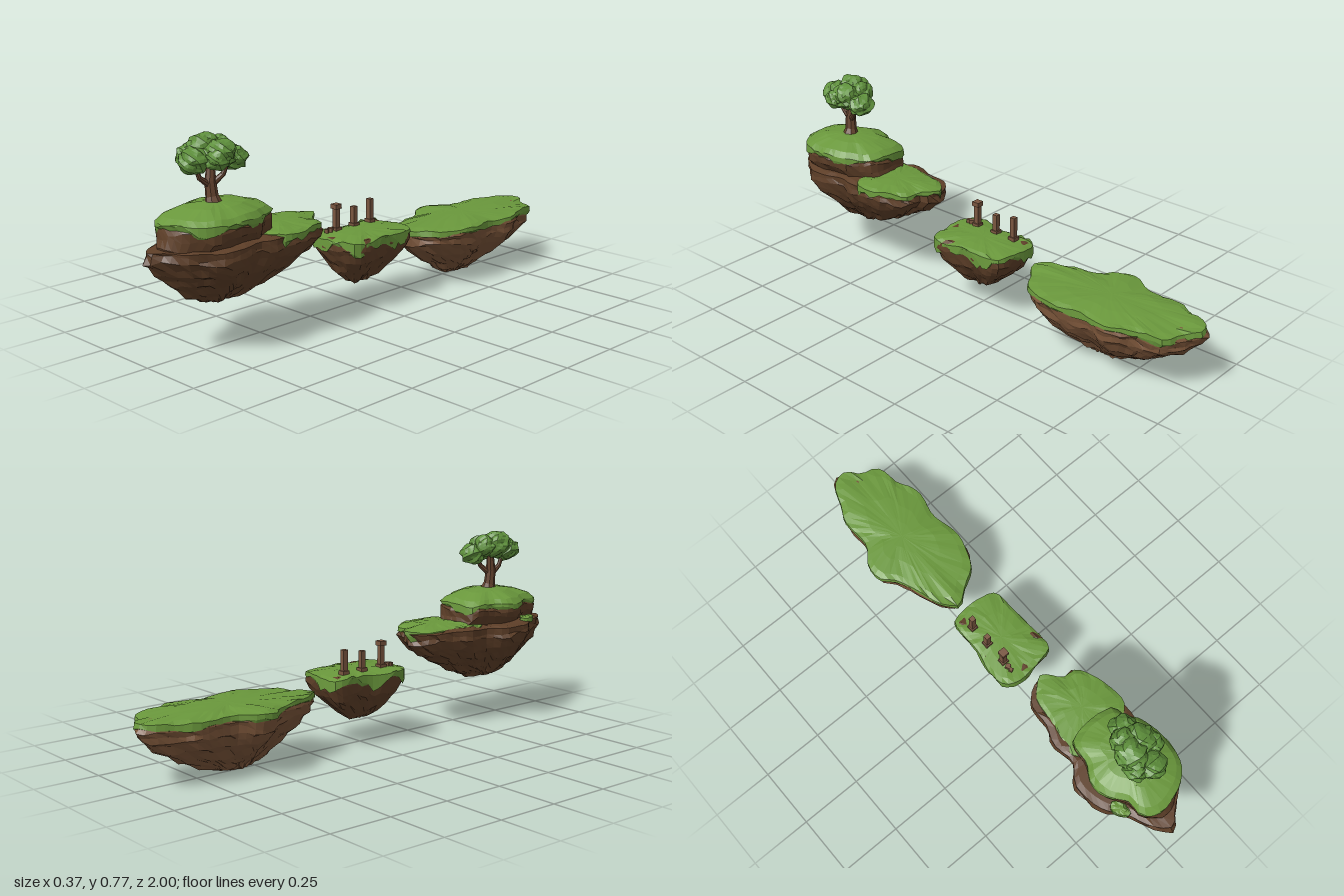
import * as THREE from 'three';

const mat = (name, color) => {
  const m = new THREE.MeshStandardMaterial({ color });
  m.name = name;
  return m;
};

// Repeatable value in -0.5..0.5 from up to three numbers
const hash = (a, b = 0, c = 0) => {
  const s = Math.sin(a * 127.1 + b * 311.7 + c * 74.7) * 43758.5453;
  return s - Math.floor(s) - 0.5;
};

function mesh(name, geometry, material) {
  const g = geometry.index ? geometry.toNonIndexed() : geometry;
  g.computeVertexNormals(); // faceted shading
  const m = new THREE.Mesh(g, material);
  m.name = name;
  return m;
}

// Closed outline of [x, z] points, sampled evenly
function outline(points, n) {
  const curve = new THREE.CatmullRomCurve3(points.map(([x, z]) => new THREE.Vector3(x, 0, z)), true, 'centripetal');
  return curve.getSpacedPoints(n).slice(0, n);
}

// Skin rings from bottom to top. Each ring: [scale, y, centreX, centreZ, radial jitter, height jitter, x narrowing]
function loft(path, centre, rings, seed) {
  const n = path.length, pos = [], idx = [];
  rings.forEach(([s, y, cx, cz, jr = 0, jy = 0, narrow = 1], j) => {
    path.forEach((p, i) => {
      const wave = Math.sin(i / n * Math.PI * 10 + j * 0.6 + seed);
      const k = s * (1 + jr * (0.5 * hash(i, j, seed) + 0.8 * hash(i >> 1, 7, seed) + 0.3 * wave));
      pos.push(cx + (p.x - centre[0]) * k * narrow,
        y + jy * (0.8 * hash(i >> 1, j, seed + 3) + 0.4 * hash(i, j, seed + 5) + 0.25 * wave), cz + (p.z - centre[1]) * k);
    });
  });
  for (let j = 0; j < rings.length - 1; j++) {
    for (let i = 0; i < n; i++) {
      const a = j * n + i, b = j * n + (i + 1) % n;
      idx.push(a, a + n, b + n, a, b + n, b);
    }
  }
  const g = new THREE.BufferGeometry();
  g.setAttribute('position', new THREE.Float32BufferAttribute(pos, 3));
  g.setIndex(idx);
  return g;
}

// Rock underside: profile of [scale, y, centreZ] from the keel up to the rim, then a closed top
function rock(path, centre, profile, steps, seed) {
  const curve = new THREE.CatmullRomCurve3(profile.map(p => new THREE.Vector3(...p)));
  const rings = curve.getPoints(steps).map((p, j) => {
    const edge = j === 0 || j === steps;
    const ledge = edge ? 0 : j % 2 ? 0.012 : -0.012;
    return [p.x + ledge, p.y, centre[0], p.z, edge ? 0.02 : 0.06, edge ? 0.004 : 0.018, Math.min(1, 0.6 + 0.75 * j / steps)];
  });
  const [, lowY, , lowZ] = rings[0], [, topY, , topZ] = rings[rings.length - 1];
  rings.unshift([0, lowY - 0.003, centre[0], lowZ]);
  rings.push([0.85, topY + 0.008, centre[0], topZ, 0.02, 0.008], [0, topY + 0.008, centre[0], topZ]);
  return loft(path, centre, rings, seed);
}

// Grass cap with a ragged hanging lip
function turf(path, centre, low, rim, high, ragged, seed) {
  const [x, z] = centre;
  return loft(path, centre, [
    [0.98, low, x, z, 0, ragged], [1.01, low + 0.004, x, z, 0.01, ragged], [1, rim, x, z, 0.015, 0.01],
    [0.88, rim + (high - rim) * 0.4, x, z, 0.015, 0.007], [0.55, rim + (high - rim) * 0.85, x, z, 0.03, 0.004],
    [0.25, high, x, z, 0, 0.001], [0, high, x, z],
  ], seed);
}

// Tapered limb between two points
function limb(name, a, b, r0, r1, material) {
  const p = new THREE.Vector3(...a), q = new THREE.Vector3(...b), d = q.clone().sub(p);
  const g = new THREE.CylinderGeometry(r1, r0, d.length(), 8, 1);
  g.applyQuaternion(new THREE.Quaternion().setFromUnitVectors(new THREE.Vector3(0, 1, 0), d.normalize()));
  g.translate((p.x + q.x) / 2, (p.y + q.y) / 2, (p.z + q.z) / 2);
  return mesh(name, g, material);
}

// Craggy leaf clump
function clump([x, y, z], [rx, ry, rz], seed, material) {
  const g = new THREE.IcosahedronGeometry(1, 3), p = g.attributes.position, v = new THREE.Vector3();
  for (let i = 0; i < p.count; i++) {
    v.fromBufferAttribute(p, i);
    const r = 1 + 0.08 * Math.sin(5 * v.x + 7 * v.y + seed) + 0.07 * Math.sin(8 * v.z - 5 * v.y + seed * 2)
      + 0.08 * hash(Math.round(v.x * 50), Math.round(v.y * 50), Math.round(v.z * 50));
    p.setXYZ(i, x + v.x * r * rx, y + v.y * r * ry, z + v.z * r * rz);
  }
  return mesh('leafClump', g, material);
}

export function createModel() {
  const group = new THREE.Group();
  const grass = mat('grass', 0x6a983c), leaf = mat('leaves', 0x5f913c), dirt = mat('dark earth', 0x5e3f28);
  const paleDirt = mat('light earth', 0x785338), bark = mat('bark', 0x65442f), stone = mat('pillar stone', 0x7a5640);
  const add = (name, geometry, material) => group.add(mesh(name, geometry, material));

  // Long back island
  const backC = [0, -0.61];
  const back = outline([[0, -0.995], [0.05, -0.95], [0.12, -0.92], [0.14, -0.82], [0.18, -0.72], [0.16, -0.6], [0.18, -0.5],
    [0.17, -0.42], [0.12, -0.32], [0.05, -0.28], [-0.01, -0.235], [-0.06, -0.28], [-0.09, -0.36], [-0.13, -0.47],
    [-0.18, -0.53], [-0.18, -0.6], [-0.13, -0.68], [-0.13, -0.82], [-0.1, -0.88], [-0.06, -0.97]], 60);
  add('backIslandRock', rock(back, backC, [[0.1, 0.004, -0.575], [0.28, 0.022, -0.585], [0.48, 0.058, -0.6], [0.7, 0.105, -0.61],
    [0.91, 0.16, -0.61], [0.98, 0.195, -0.61], [0.98, 0.232, -0.61]], 12, 1), paleDirt);
  add('backIslandGrass', turf(back, backC, 0.217, 0.24, 0.255, 0.018, 2), grass);

  // Small middle island
  const midC = [0.015, -0.01];
  const mid = outline([[-0.03, -0.195], [0.05, -0.19], [0.12, -0.17], [0.13, -0.08], [0.13, 0], [0.14, 0.08], [0.13, 0.14],
    [0.05, 0.16], [-0.04, 0.17], [-0.1, 0.14], [-0.11, 0.06], [-0.09, -0.02], [-0.09, -0.12], [-0.08, -0.18]], 44);
  add('middleIslandRock', rock(mid, midC, [[0.18, 0.095, 0.01], [0.4, 0.113, 0.005], [0.62, 0.152, 0], [0.82, 0.195, -0.01],
    [0.96, 0.24, -0.01], [0.98, 0.275, -0.01]], 8, 3), dirt);
  add('middleIslandGrass', turf(mid, midC, 0.254, 0.282, 0.295, 0.05, 4), grass);

  // Broken pillars: [z, top, capped]
  for (const [z, top, capped] of [[0.07, 0.392, true], [-0.025, 0.37, false], [-0.113, 0.385, false]]) {
    const pillar = new THREE.Group();
    pillar.name = 'pillar';
    const box = (name, w, y0, y1) =>
      pillar.add(mesh(name, new THREE.BoxGeometry(w, y1 - y0, w).translate(-0.043, (y0 + y1) / 2, z), stone));
    box('plinth', 0.03, 0.28, 0.305);
    box('shaft', 0.02, 0.3, top);
    if (capped) box('capital', 0.03, top - 0.014, top + 0.004);
    group.add(pillar);
  }
  for (const [z, r] of [[0.1, 0.012], [0.118, 0.009]]) {
    add('pillarRubble', new THREE.BoxGeometry(r * 1.6, r * 1.6, r * 1.6).rotateY(0.5).translate(-0.045, 0.298, z), stone);
  }

  // Front island
  const frontC = [0, 0.61];
  const front = outline([[-0.01, 0.225], [0.03, 0.25], [0.05, 0.29], [0.12, 0.3], [0.15, 0.37], [0.17, 0.45], [0.17, 0.55],
    [0.16, 0.63], [0.18, 0.7], [0.18, 0.78], [0.14, 0.85], [0.1, 0.9], [0.03, 0.95], [-0.01, 0.985], [-0.06, 0.95],
    [-0.11, 0.85], [-0.16, 0.78], [-0.185, 0.68], [-0.18, 0.63], [-0.13, 0.55], [-0.14, 0.47], [-0.11, 0.38], [-0.1, 0.28],
    [-0.06, 0.24]], 60);
  add('frontIslandRock', rock(front, frontC, [[0.19, 0.172, 0.67], [0.38, 0.198, 0.655], [0.63, 0.25, 0.635], [0.82, 0.3, 0.62],
    [0.97, 0.355, 0.61], [0.97, 0.395, 0.61]], 11, 5), dirt);
  const meadow = outline([[0, 0.232], [0.03, 0.255], [0.06, 0.29], [0.12, 0.3], [0.153, 0.37], [0.173, 0.45], [0.168, 0.52],
    [0.1, 0.56], [0, 0.57], [-0.1, 0.56], [-0.115, 0.47], [-0.085, 0.38], [-0.07, 0.29], [-0.04, 0.26]], 44);
  add('frontIslandGrass', turf(meadow, [0.035, 0.43], 0.382, 0.402, 0.418, 0.03, 6), grass);
  const patch = outline([[-0.12, 0.765], [-0.092, 0.8], [-0.1, 0.845], [-0.125, 0.835], [-0.145, 0.79]], 14);
  add('ledgeGrass', turf(patch, [-0.118, 0.805], 0.397, 0.414, 0.418, 0.008, 7), grass);

  // Raised plateau on the front island
  const hillC = [0.02, 0.7];
  const hill = outline([[-0.09, 0.515], [0.1, 0.515], [0.12, 0.57], [0.15, 0.61], [0.168, 0.7], [0.166, 0.78], [0.145, 0.84],
    [0.1, 0.88], [0.04, 0.905], [-0.03, 0.915], [-0.085, 0.88], [-0.09, 0.81], [-0.135, 0.75], [-0.145, 0.67], [-0.11, 0.61]], 44);
  add('plateauRock', rock(hill, hillC, [[1.02, 0.37, 0.7], [1.02, 0.41, 0.7], [0.985, 0.45, 0.7], [0.97, 0.472, 0.7]], 4, 8), dirt);
  add('plateauGrass', turf(hill, hillC, 0.466, 0.484, 0.534, 0.034, 9), grass);

  // Tree
  const tree = new THREE.Group();
  tree.name = 'tree';
  for (const [name, a, b, r0, r1] of [
    ['trunkBase', [0.018, 0.515, 0.71], [0.012, 0.55, 0.712], 0.036, 0.023],
    ['trunk', [0.012, 0.548, 0.712], [0.008, 0.605, 0.715], 0.023, 0.02],
    ['trunkTop', [0.008, 0.6, 0.715], [0.003, 0.67, 0.705], 0.02, 0.014],
    ['branch', [0.008, 0.585, 0.715], [0.005, 0.62, 0.76], 0.013, 0.009],
    ['branch', [0.005, 0.615, 0.757], [0, 0.67, 0.775], 0.009, 0.007],
    ['branch', [0.01, 0.59, 0.71], [0.028, 0.625, 0.672], 0.013, 0.009],
    ['branch', [0.028, 0.622, 0.675], [0.035, 0.67, 0.655], 0.009, 0.007],
  ]) tree.add(limb(name, a, b, r0, r1, bark));
  [
    [[-0.022, 0.712, 0.72], [0.053, 0.053, 0.065]],
    [[0.04, 0.698, 0.7], [0.054, 0.05, 0.06]],
    [[0.015, 0.685, 0.79], [0.052, 0.046, 0.05]],
    [[0.03, 0.677, 0.63], [0.05, 0.043, 0.05]],
    [[0.07, 0.688, 0.73], [0.037, 0.037, 0.045]],
    [[-0.045, 0.692, 0.765], [0.035, 0.04, 0.045]],
    [[-0.01, 0.71, 0.665], [0.045, 0.043, 0.045]],
  ].forEach(([c, r], i) => tree.add(clump(c, r, i + 1, leaf)));
  group.add(tree);

  return group;
}
